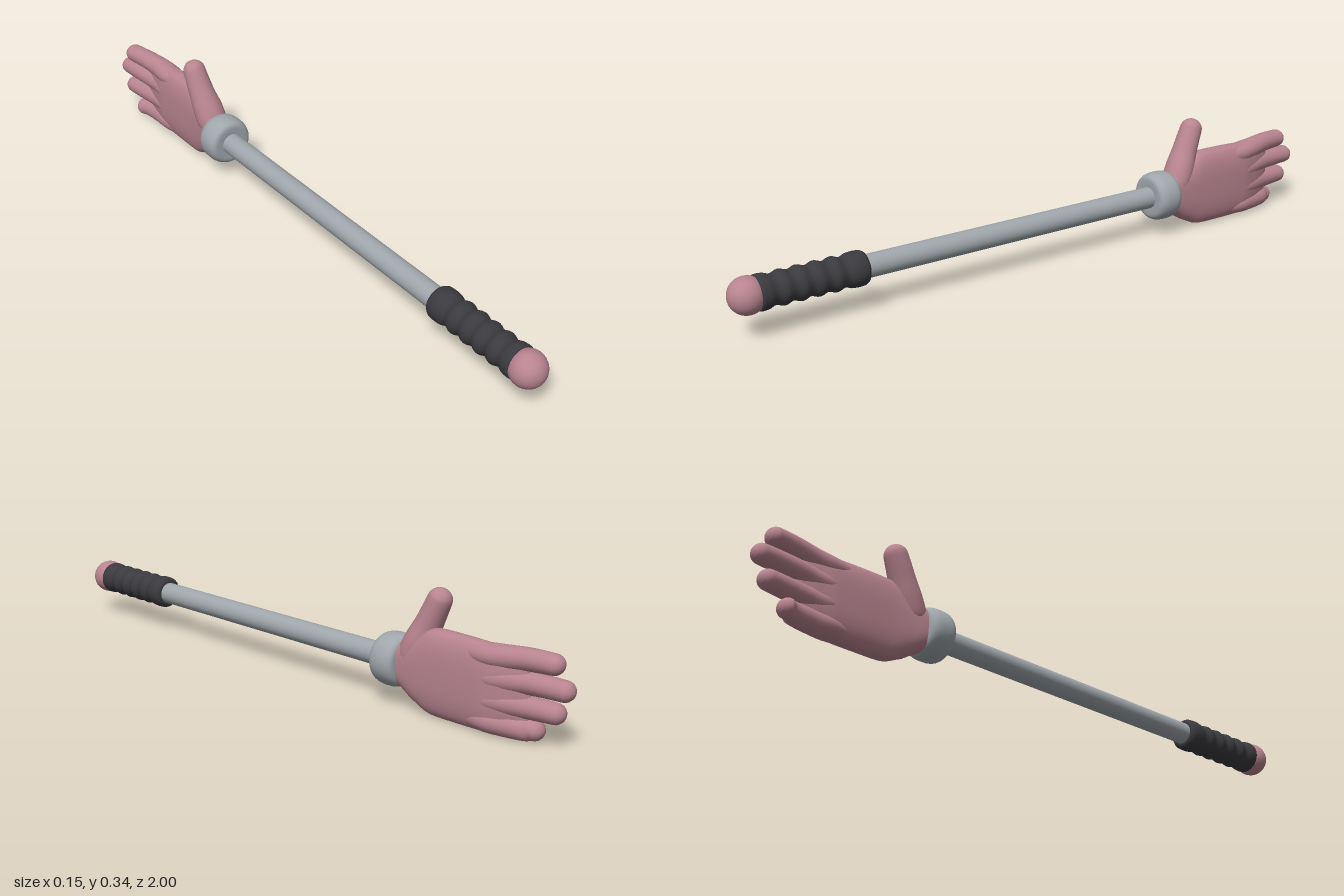
import * as THREE from 'three';

const AXIS = 0.125; // height of the rod's centre line

// Skin of superellipse rings along -z; each section is [z, cx, cy, rx, ry].
function loft(sections, power, sides = 32, steps = 40) {
  const centre = new THREE.CatmullRomCurve3(sections.map(s => new THREE.Vector3(s[1], s[2], s[0])), false, 'centripetal');
  const size = new THREE.CatmullRomCurve3(sections.map(s => new THREE.Vector3(s[3], s[4], 0)), false, 'catmullrom', 0.4);
  const pos = [], index = [];
  for (let i = 0; i <= steps; i++) {
    const c = centre.getPoint(i / steps), r = size.getPoint(i / steps);
    for (let j = 0; j < sides; j++) {
      const a = j / sides * Math.PI * 2, co = Math.cos(a), si = Math.sin(a);
      pos.push(
        c.x + Math.sign(co) * Math.abs(co) ** (2 / power) * Math.max(r.x, 0.0005),
        c.y + Math.sign(si) * Math.abs(si) ** (2 / power) * Math.max(r.y, 0.0005),
        c.z);
      if (i < steps) {
        const p = i * sides + j, q = i * sides + (j + 1) % sides;
        index.push(p, p + sides, q, q, p + sides, q + sides);
      }
    }
  }
  const g = new THREE.BufferGeometry();
  g.setAttribute('position', new THREE.Float32BufferAttribute(pos, 3));
  g.setIndex(index);
  g.computeVertexNormals();
  return g;
}

// Rounded end: rings shrinking over a quarter circle to the apex.
function dome(z, cx, cy, rx, ry, length) {
  return [0, 0.25, 0.5, 0.75, 0.92, 1].map(t => {
    const a = t * Math.PI / 2, k = Math.cos(a);
    return [z - length * Math.sin(a), cx, cy, rx * k, ry * k];
  });
}

export function createModel() {
  const model = new THREE.Group();
  const skin = new THREE.MeshStandardMaterial({ color: 0xb8848f });
  const metal = new THREE.MeshStandardMaterial({ color: 0xa0a7ac });
  const rubber = new THREE.MeshStandardMaterial({ color: 0x3b3b3f });
  skin.name = 'pink skin';
  metal.name = 'grey metal';
  rubber.name = 'black rubber';

  const add = (name, geometry, material, parent = model) => {
    const m = new THREE.Mesh(geometry, material);
    m.name = name;
    parent.add(m);
    return m;
  };
  // Turned part around the rod axis; points are [radius, z].
  const turned = (name, points, material) => {
    const g = new THREE.LatheGeometry(points.map(p => new THREE.Vector2(p[0], p[1])), 40);
    g.rotateX(Math.PI / 2);
    return add(name, g, material).position.y = AXIS;
  };

  // Rod
  const rod = new THREE.CylinderGeometry(0.033, 0.033, 1.06, 32);
  rod.rotateX(Math.PI / 2);
  add('rod', rod, metal).position.set(0, AXIS, 0.11);

  // Ball at the handle end
  add('endBall', new THREE.SphereGeometry(0.052, 32, 20), skin).position.set(0, AXIS, 0.946);

  // Ribbed grip: a thicker rounded cuff, then rings of finger ridges
  const grip = [[0.001, 0.605], [0.036, 0.605], [0.044, 0.609], [0.049, 0.618], [0.05, 0.635]];
  for (let i = 0; i <= 40; i++) {
    const t = i / 40;
    grip.push([0.0455 + 0.0035 * Math.cos(t * Math.PI * 10), 0.65 + t * 0.25]);
  }
  grip.push([0.05, 0.912], [0.049, 0.919], [0.045, 0.923], [0.001, 0.923]);
  turned('grip', grip, rubber);

  // Rounded wrist collar
  const collar = [[0.001, -0.465], [0.045, -0.465]];
  for (let i = 0; i <= 20; i++) {
    const a = -Math.PI / 2 + i / 20 * Math.PI;
    const bulge = Math.sign(Math.sin(a)) * Math.abs(Math.sin(a)) ** 0.75;
    collar.push([0.05 + 0.025 * Math.cos(a) ** 0.75, -0.423 + 0.042 * bulge]);
  }
  collar.push([0.04, -0.381], [0.001, -0.383]);
  turned('wristCollar', collar, metal);

  // Hand
  const hand = new THREE.Group();
  hand.name = 'hand';
  model.add(hand);

  add('palm', loft([
    [-0.44, 0, 0.125, 0.048, 0.055],
    [-0.47, 0, 0.123, 0.047, 0.068],
    [-0.515, 0.003, 0.12, 0.045, 0.092],
    [-0.57, 0.005, 0.123, 0.043, 0.117],
    [-0.66, 0.005, 0.123, 0.042, 0.119],
    [-0.75, 0.004, 0.122, 0.039, 0.117],
    [-0.8, 0.002, 0.123, 0.031, 0.108],
    [-0.85, -0.002, 0.125, 0.019, 0.092],
    [-0.875, -0.004, 0.126, 0.008, 0.085],
    [-0.88, -0.004, 0.126, 0, 0],
  ], 2.7, 48, 60), skin, hand);

  // Fingers: root height, tip height, tip z
  const fingers = [
    ['indexFinger', 0.207, 0.217, -0.965],
    ['middleFinger', 0.15, 0.157, -1.0],
    ['ringFinger', 0.093, 0.094, -0.975],
    ['littleFinger', 0.036, 0.036, -0.913],
  ];
  for (const [name, rootY, tipY, tipZ] of fingers) {
    add(name, loft([
      [-0.66, 0.005, rootY, 0.024, 0.024],
      [-0.75, 0.004, rootY, 0.038, 0.032],
      [-0.81, 0, (rootY + tipY) / 2, 0.034, 0.032],
      [-0.87, -0.01, tipY, 0.031, 0.03],
      ...dome(tipZ + 0.028, -0.02, tipY, 0.03, 0.028, 0.028),
    ], 2, 24), skin, hand);
  }

  // Thumb, leaning up and away from the wrist
  const thumb = add('thumb', loft([
    [0.03, 0.002, 0, 0.03, 0.03],
    [0, 0, 0, 0.046, 0.044],
    [-0.05, -0.004, 0, 0.047, 0.044],
    [-0.11, -0.011, 0, 0.04, 0.037],
    ...dome(-0.176, -0.016, 0, 0.035, 0.034, 0.034),
  ], 2, 28), skin, hand);
  thumb.position.set(0, 0.15, -0.49);
  thumb.rotation.x = 66 * Math.PI / 180;

  return model;
}
